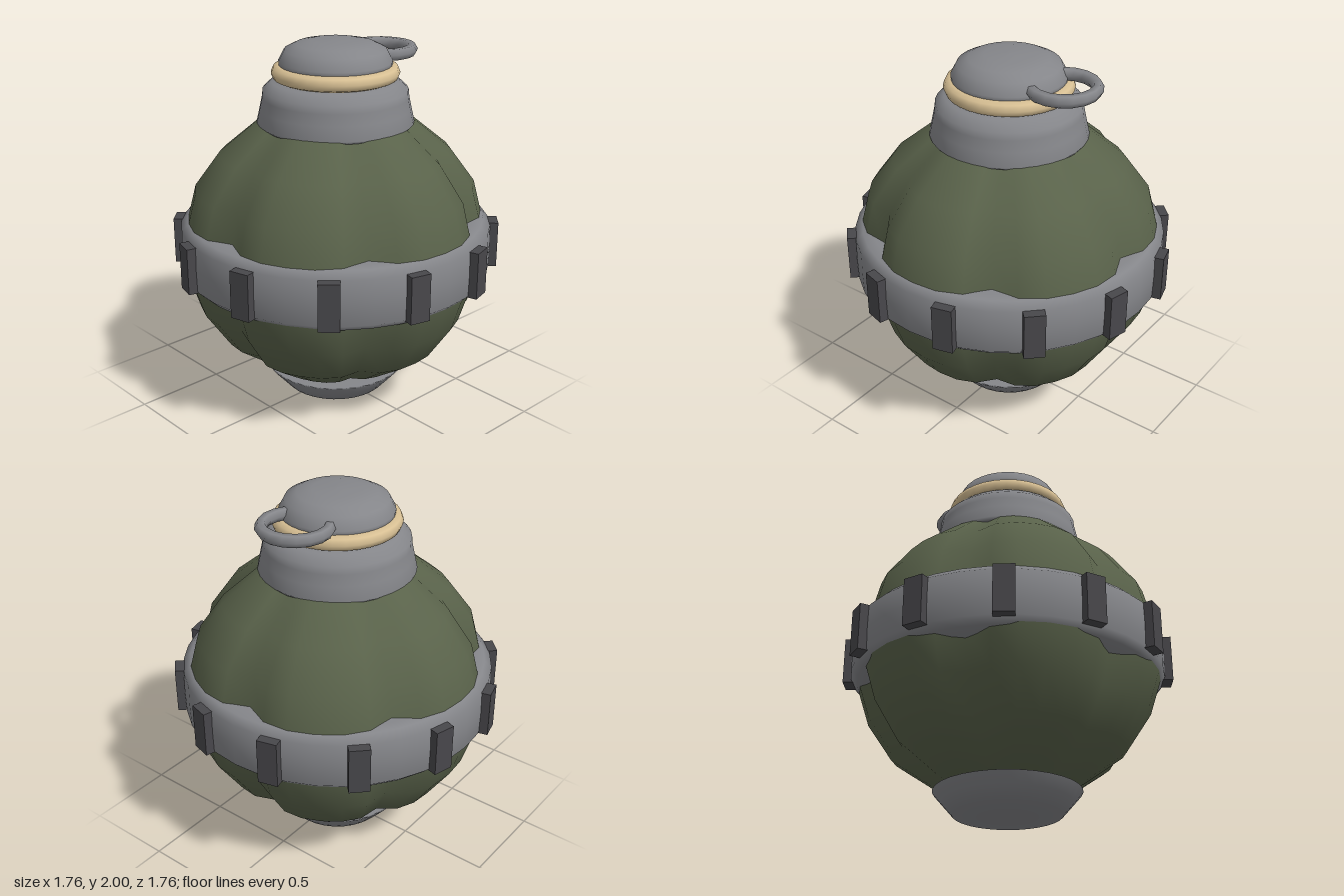
import * as THREE from 'three';
import { mergeVertices } from 'three/addons/utils/BufferGeometryUtils.js';

function material(name, color) {
  const m = new THREE.MeshStandardMaterial({ color });
  m.name = name;
  return m;
}

// Turned part from [radius, y] pairs, listed bottom to top
function turned(points, segments) {
  return new THREE.LatheGeometry(points.map(([r, y]) => new THREE.Vector2(r, y)), segments);
}

// Shell with six narrow vertical grooves, at +x and every 60 degrees
function groovedShell(points) {
  let g = turned(points, 36);
  const p = g.attributes.position;
  for (let i = 0; i < p.count; i++) {
    const a = Math.atan2(p.getZ(i), p.getX(i));
    const k = 1 - 0.11 * (1 - Math.abs(Math.sin(3 * a))) ** 2;
    p.setXYZ(i, p.getX(i) * k, p.getY(i), p.getZ(i) * k);
  }
  g.deleteAttribute('normal');
  g.deleteAttribute('uv');
  g = mergeVertices(g, 1e-4);
  g.computeVertexNormals();
  return g;
}

export function createModel() {
  const model = new THREE.Group();
  model.name = 'ribbedCanister';
  const green = material('olive green', 0x59624a);
  const steel = material('steel grey', 0x85868a);
  const dark = material('dark grey', 0x48474b);
  const brass = material('pale brass', 0xd8c094);

  const add = (name, geometry, mat, parent = model) => {
    const mesh = new THREE.Mesh(geometry, mat);
    mesh.name = name;
    parent.add(mesh);
    return mesh;
  };

  // Grooved round body
  add('body', groovedShell([
    [0.2, 0.09], [0.41, 0.19], [0.63, 0.34], [0.765, 0.54], [0.83, 0.74], [0.838, 0.87],
    [0.82, 1.0], [0.765, 1.21], [0.625, 1.4], [0.43, 1.56], [0.25, 1.66],
  ]), green);

  // Flared foot with a slightly domed underside
  add('foot', turned([
    [0, 0], [0.15, 0.005], [0.29, 0.017], [0.345, 0.08], [0.395, 0.138], [0.385, 0.142], [0.2, 0.142],
  ], 32), steel);

  // Belt around the middle
  add('belt', turned([
    [0.66, 0.695], [0.76, 0.703], [0.815, 0.72], [0.85, 0.755], [0.853, 0.88],
    [0.85, 1.0], [0.81, 1.038], [0.76, 1.042], [0.66, 1.045],
  ], 36), steel);

  // Twelve lugs on the belt
  const lugs = new THREE.Group();
  lugs.name = 'lugs';
  model.add(lugs);
  const lugShape = new THREE.BoxGeometry(0.11, 0.255, 0.1);
  for (let i = 0; i < 12; i++) {
    const a = (i + 0.5) * Math.PI / 6;
    const lug = add('lug', lugShape, dark, lugs);
    lug.position.set(Math.sin(a) * 0.845, 0.875, Math.cos(a) * 0.845);
    lug.rotation.y = a;
  }

  // Collar, sealing ring and cap
  add('collar', turned([
    [0.3, 1.545], [0.41, 1.55], [0.422, 1.565], [0.405, 1.64], [0.392, 1.7],
    [0.388, 1.74], [0.34, 1.785], [0.25, 1.795],
  ], 32), steel);
  const seal = add('sealingRing', new THREE.TorusGeometry(0.3, 0.042, 8, 32), brass);
  seal.rotation.x = Math.PI / 2;
  seal.position.y = 1.83;
  add('cap', turned([
    [0.27, 1.82], [0.3, 1.86], [0.302, 1.89], [0.27, 1.95], [0.21, 1.98], [0.13, 1.997], [0, 2],
  ], 32), steel);

  // Pull ring, both ends buried in the cap
  const arc = THREE.MathUtils.degToRad(250);
  const ring = new THREE.TorusGeometry(0.17, 0.034, 6, 12, arc);
  ring.rotateZ(-arc / 2);
  ring.rotateX(Math.PI / 2);
  add('pullRing', ring, steel).position.set(0.335, 1.903, 0);

  return model;
}
